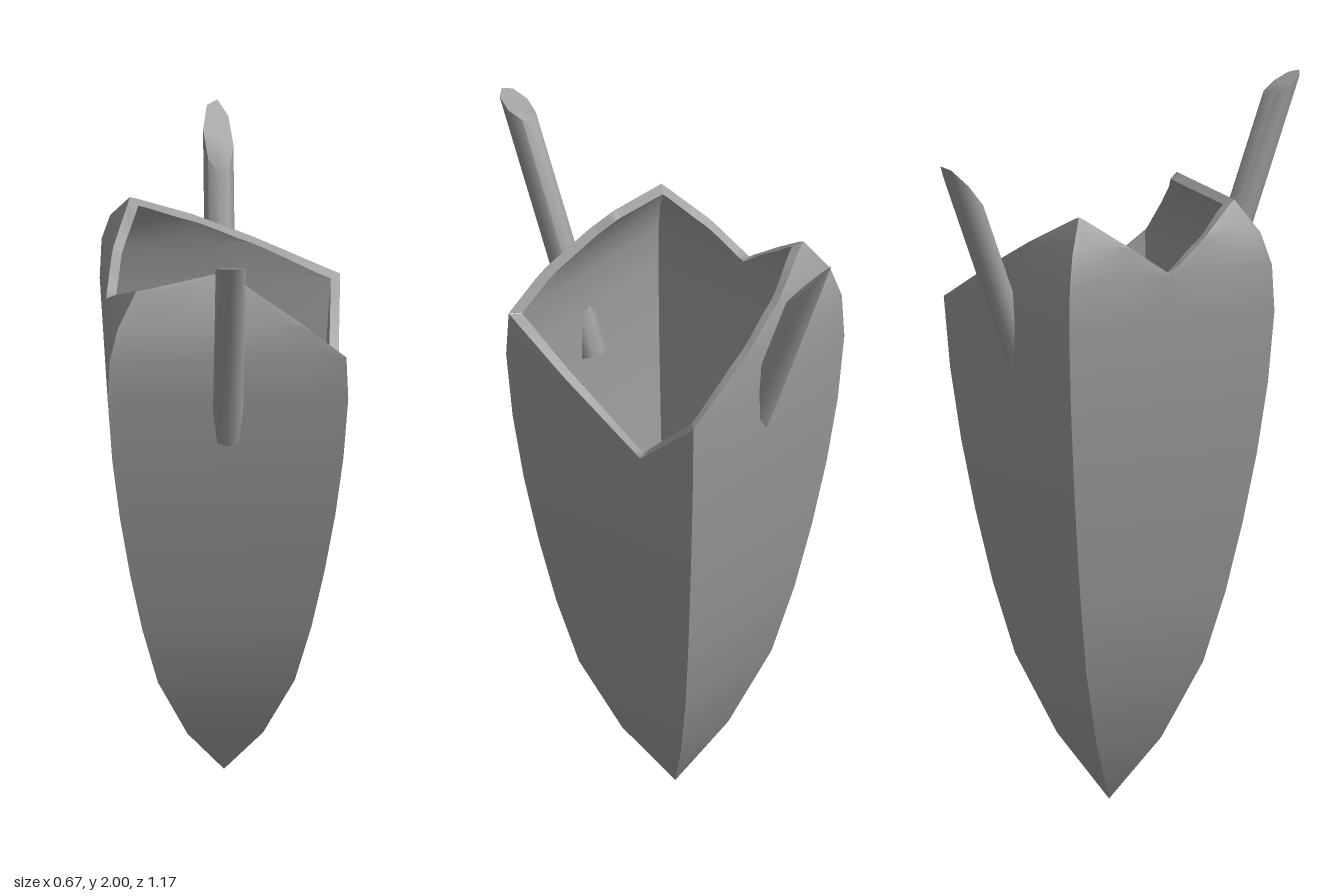
import * as THREE from 'three';
import { toCreasedNormals } from 'three/addons/utils/BufferGeometryUtils.js';

const CENTER_Z = -0.035;
const THICK = 0.027;

// half width of the square pod against height
const PROFILE = [[0, 0], [0.18, 0.105], [0.4, 0.19], [0.6, 0.235], [0.8, 0.27], [1, 0.299], [1.2, 0.321],
  [1.4, 0.334], [1.53, 0.329], [1.62, 0.306], [1.71, 0.253], [1.75, 0.22], [1.85, 0.12]];

// broken rim of each wall: [position along the wall, height]
const WALLS = [
  { name: 'frontWall', angle: 0, rim: [[-0.25, 1.71], [0, 1.75], [0.2, 1.63], [0.33, 1.53]] },
  { name: 'leftWall', angle: Math.PI / 2, rim: [[-0.33, 1.53], [0.135, 1.23], [0.333, 1.4]] },
  { name: 'backWall', angle: Math.PI, rim: [[-0.333, 1.4], [0.25, 1.71]] },
  { name: 'rightWall', angle: -Math.PI / 2, rim: [[-0.25, 1.71], [0, 1.535], [0.25, 1.71]] },
];

// straight-line interpolation, held at the ends
function lerpTable(table, x) {
  if (x <= table[0][0]) return table[0][1];
  for (let i = 1; i < table.length; i++) {
    const [x0, y0] = table[i - 1], [x1, y1] = table[i];
    if (x <= x1) return y0 + (y1 - y0) * (x - x0) / (x1 - x0);
  }
  return table[table.length - 1][1];
}
const halfWidth = (y) => lerpTable(PROFILE, y);

// height of the rim on the wall line u (-1..1)
function rimHeight(rim, u) {
  let y = 1.5;
  for (let i = 0; i < 40; i++) y = (y + lerpTable(rim, u * halfWidth(y))) / 2;
  return y;
}

// point on the wall, pushed inward along the profile normal
function wallPoint(u, y, inset) {
  const e = 0.02, y0 = Math.max(0, y - e);
  const slope = (halfWidth(y + e) - halfWidth(y0)) / (y + e - y0);
  const len = Math.hypot(1, slope);
  const w = Math.max(0, halfWidth(y) - inset / len);
  return [u * w, y + inset * slope / len, w];
}

function gridGeometry(nu, nv, fn) {
  const pos = [], index = [];
  for (let j = 0; j <= nv; j++) for (let i = 0; i <= nu; i++) pos.push(...fn(2 * i / nu - 1, j));
  for (let j = 0; j < nv; j++) for (let i = 0; i < nu; i++) {
    const a = j * (nu + 1) + i, b = a + 1, c = b + nu + 1, d = a + nu + 1;
    index.push(a, b, c, a, c, d);
  }
  const geo = new THREE.BufferGeometry();
  geo.setAttribute('position', new THREE.Float32BufferAttribute(pos, 3));
  geo.setIndex(index);
  geo.computeVertexNormals();
  return geo;
}

// spike leaning outward, its top cut by a sloping plane
function spikeGeometry(baseZ, tipY, tipZ, slope, tilt) {
  const geo = new THREE.CylinderGeometry(0.042, 0.042, 1, 8);
  const p = geo.attributes.position;
  const dy = 0.935, dz = 0.355;
  for (let i = 0; i < p.count; i++) {
    const x = p.getX(i), r = p.getZ(i);
    const by = 1.265 - dz * r, bz = baseZ + dy * r;
    const t = p.getY(i) > 0 ? (tipY + slope * (bz - tipZ) + tilt * x - by) / (dy - slope * dz) : 0;
    p.setXYZ(i, x, by + dy * t, bz + dz * t);
  }
  return toCreasedNormals(geo, 0.9);
}

export function createModel() {
  const model = new THREE.Group();
  model.name = 'brokenPod';
  const material = new THREE.MeshStandardMaterial({ color: 0x9b9b9b });
  const add = (parent, geo, name) => {
    const mesh = new THREE.Mesh(geo, material);
    mesh.name = name;
    parent.add(mesh);
    return mesh;
  };

  // four walls of the hollow pod, each with outside, inside and rim
  const pod = new THREE.Group();
  pod.name = 'pod';
  pod.position.z = CENTER_Z;
  const rows = PROFILE.length - 1;
  for (const { name, angle, rim } of WALLS) {
    const wall = new THREE.Group();
    wall.name = name;
    wall.rotation.y = angle;
    // rows follow the profile heights and stop at the rim
    const at = (u, j, inset) => wallPoint(u, Math.min(PROFILE[j][0], rimHeight(rim, u)), inset);
    add(wall, gridGeometry(24, rows, (u, j) => at(u, j, 0)), 'outerFace');
    add(wall, gridGeometry(24, rows, (u, j) => at(-u, j, THICK)), 'innerFace');
    add(wall, gridGeometry(24, 1, (u, j) => at(u, rows, j * THICK)), 'rim');
    pod.add(wall);
  }
  model.add(pod);

  // spikes piercing the front and back walls
  add(model, spikeGeometry(0.26, 2.0, 0.585, 0.56, 0), 'frontSpike');
  add(model, spikeGeometry(0.32, 1.84, 0.582, 1.04, 0.3), 'backSpike').rotation.y = Math.PI;

  return model;
}
